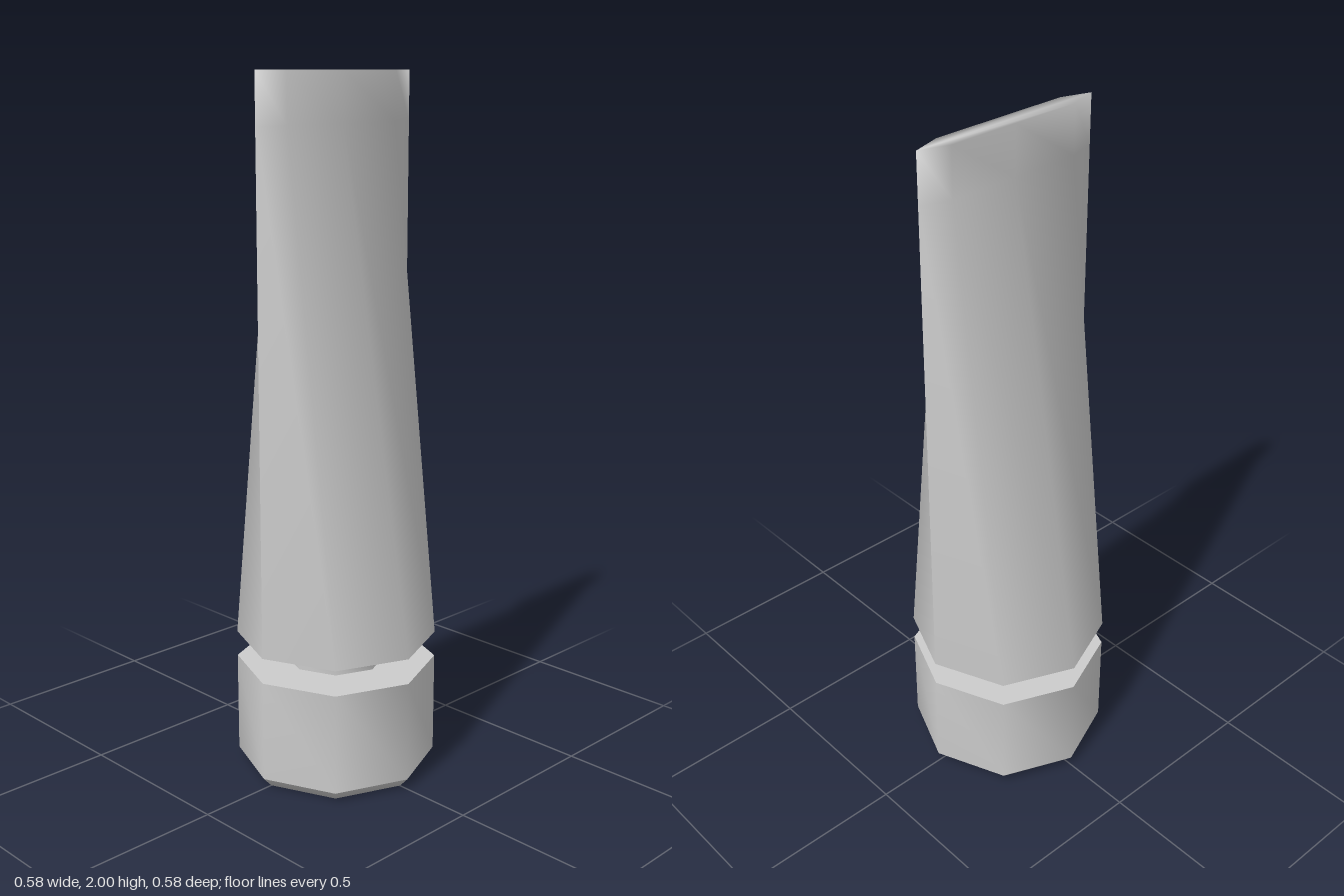
import * as THREE from 'three';

const SIDES = 8;
const R = 0.29;

// One eight-sided cross-section: y height, rx / rz half-widths
const ring = (y, rx, rz = rx) => {
  const points = [];
  for (let i = 0; i < SIDES; i++) {
    const a = (i / SIDES) * Math.PI * 2;
    points.push([rx * Math.cos(a), y, rz * Math.sin(a)]);
  }
  return points;
};

// Pinched section: nearly flat, tapering to a point at both sides
const crimpRing = (y) => ring(y, R).map(([x, h, z]) =>
  [x, h, Math.abs(z) < 0.01 ? 0 : Math.sign(z) * 0.028]);

// Smooth skin through a stack of rings, listed upward, with optional end faces
function loft(rings, { bottom = false, top = false } = {}) {
  const index = [];
  for (let r = 0; r < rings.length - 1; r++) {
    for (let i = 0; i < SIDES; i++) {
      const j = (i + 1) % SIDES;
      const b = r * SIDES, t = b + SIDES;
      index.push(b + i, t + j, b + j, b + i, t + i, t + j);
    }
  }
  const last = (rings.length - 1) * SIDES;
  for (let i = 1; i < SIDES - 1; i++) {
    if (bottom) index.push(0, i, i + 1);
    if (top) index.push(last, last + i + 1, last + i);
  }
  const geometry = new THREE.BufferGeometry();
  geometry.setAttribute('position', new THREE.Float32BufferAttribute(rings.flat(2), 3));
  geometry.setIndex(index);
  geometry.computeVertexNormals();
  return geometry;
}

export function createModel() {
  const model = new THREE.Group();
  model.name = 'squeezeTube';
  const material = new THREE.MeshStandardMaterial({ color: 0xcccccc });
  const add = (name, geometry, parent = model) => {
    const mesh = new THREE.Mesh(geometry, material);
    mesh.name = name;
    parent.add(mesh);
  };

  // Screw cap the tube stands on; separate skins keep its rims sharp
  const cap = new THREE.Group();
  cap.name = 'cap';
  model.add(cap);
  add('capBase', loft([ring(0, 0.262), ring(0.03, R)], { bottom: true }), cap);
  add('capWall', loft([ring(0.03, R), ring(0.325, R)]), cap);
  add('capTop', loft([ring(0.325, R), ring(0.325, 0.14)]), cap);

  // Neck and sloping shoulder
  add('neck', loft([ring(0.31, 0.148), ring(0.345, 0.148)]));
  add('shoulder', loft([ring(0.345, 0.148), ring(0.4, R)]));

  // Body flattening into the crimped end seal
  add('body', loft([ring(0.4, R), crimpRing(1.86), crimpRing(2)], { top: true }));

  return model;
}
